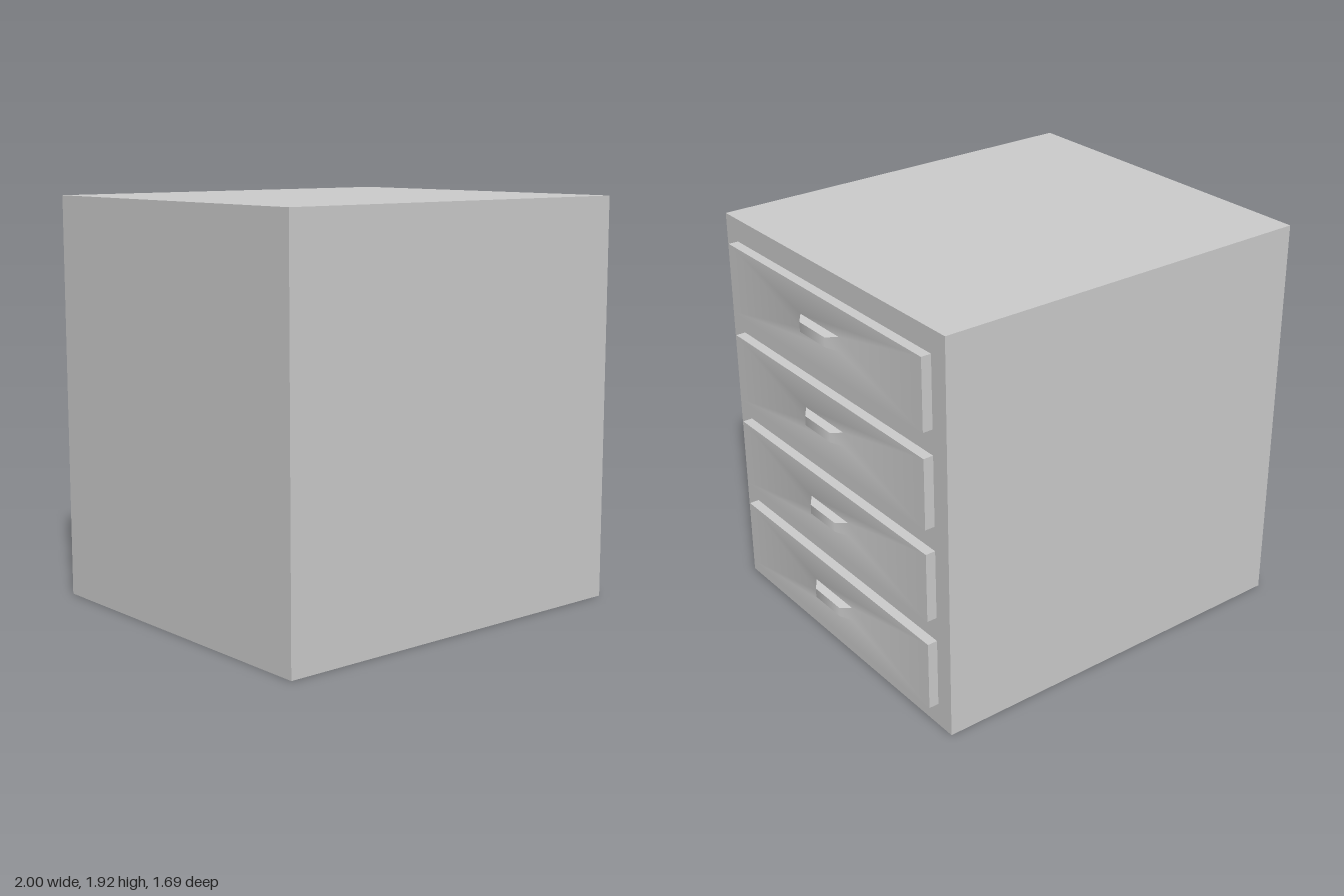
import * as THREE from 'three';
import { toCreasedNormals } from 'three/addons/utils/BufferGeometryUtils.js';

const BODY = { back: -1, front: 0.915, height: 1.925, depth: 1.69 };

// Rectangular loops joined along x: [x, half width in z, half height in y], with a cap on the last one.
function loftRectangles(rings) {
  const positions = [];
  const index = [];
  for (const [x, w, h] of rings) {
    positions.push(x, -h, w, x, -h, -w, x, h, -w, x, h, w);
  }
  for (let r = 0; r < rings.length - 1; r++) {
    for (let k = 0; k < 4; k++) {
      const a = r * 4 + k;
      const b = r * 4 + (k + 1) % 4;
      index.push(a, b, b + 4, a, b + 4, a + 4);
    }
  }
  const c = (rings.length - 1) * 4;
  index.push(c, c + 1, c + 2, c, c + 2, c + 3);
  const geometry = new THREE.BufferGeometry();
  geometry.setAttribute('position', new THREE.Float32BufferAttribute(positions, 3));
  geometry.setIndex(index);
  // The sloping handle ends blend softly into the front; all other edges stay sharp.
  return toCreasedNormals(geometry, 0.8);
}

export function createModel() {
  const group = new THREE.Group();
  group.name = 'drawerCabinet';
  const material = new THREE.MeshStandardMaterial({ color: 0xcccccc });

  // Cabinet body
  const body = new THREE.Mesh(
    new THREE.BoxGeometry(BODY.front - BODY.back, BODY.height, BODY.depth), material);
  body.position.set((BODY.front + BODY.back) / 2, BODY.height / 2, 0);
  body.name = 'cabinetBody';
  group.add(body);

  // Four drawer fronts, each with its tapered handle drawn out of the panel
  const drawerGeometry = loftRectangles([
    [BODY.front, 0.75, 0.168],
    [0.963, 0.75, 0.168],
    [0.963, 0.15, 0.034],
    [1, 0.1, 0.023],
  ]);
  for (let i = 0; i < 4; i++) {
    const drawer = new THREE.Mesh(drawerGeometry, material);
    drawer.position.y = 0.281 + i * 0.4555;
    drawer.name = `drawerWithHandle${i + 1}`;
    group.add(drawer);
  }
  return group;
}
